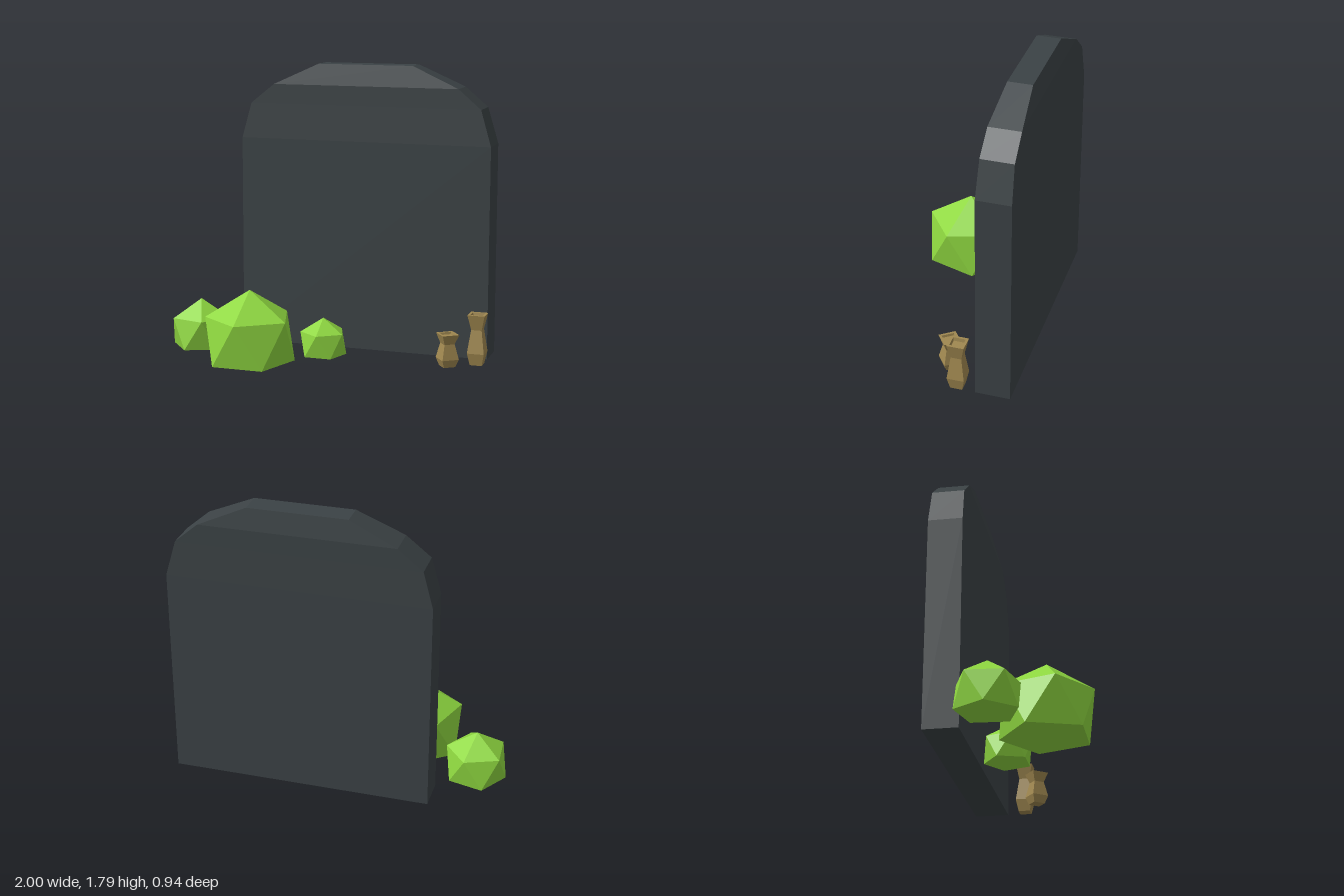
import * as THREE from 'three';

const flat = (color) => new THREE.MeshStandardMaterial({ color, flatShading: true });

// Closed slab lofted through rectangular sections [y, xLeft, xRight, zBack, zFront]
function loftGeometry(rows) {
  const pos = [], index = [];
  for (const [y, xl, xr, zb, zf] of rows) pos.push(xl, y, zf, xr, y, zf, xr, y, zb, xl, y, zb);
  for (let i = 0; i < rows.length - 1; i++) {
    for (let k = 0; k < 4; k++) {
      const a = i * 4 + k, b = i * 4 + (k + 1) % 4;
      index.push(a, b, b + 4, a, b + 4, a + 4);
    }
  }
  const t = (rows.length - 1) * 4;
  index.push(t, t + 1, t + 2, t, t + 2, t + 3, 0, 2, 1, 0, 3, 2);
  const geo = new THREE.BufferGeometry();
  geo.setAttribute('position', new THREE.Float32BufferAttribute(pos, 3));
  geo.setIndex(index);
  const out = geo.toNonIndexed();
  out.computeVertexNormals();
  return out;
}

// Icosahedron standing on its point, with the lowest point pressed flat
function bushGeometry(radius, turn) {
  const geo = new THREE.IcosahedronGeometry(radius, 0);
  geo.rotateZ(Math.atan(2 / (1 + Math.sqrt(5))));
  geo.rotateY(turn);
  geo.translate(0, 0.01 + radius / Math.sqrt(5), 0);
  const p = geo.attributes.position;
  for (let i = 0; i < p.count; i++) p.setY(i, Math.max(p.getY(i), 0.003));
  geo.computeVertexNormals();
  return geo;
}

// Square waisted vase with a shallow hollow in the top; half-widths along the height
function vaseGeometry(height, half) {
  const profile = [[0, 0], [0.7, 0], [1, 0.24], [0.62, 0.7], [1, 1], [0.72, 1], [0.66, 0.93], [0, 0.93]];
  const pts = profile.map(([w, h]) => new THREE.Vector2(w * half * Math.SQRT2, h * height));
  const geo = new THREE.LatheGeometry(pts, 4);
  geo.rotateY(Math.PI / 4);
  return geo;
}

export function createModel() {
  const model = new THREE.Group();
  const add = (name, geo, mat, x = 0, y = 0, z = 0) => {
    const mesh = new THREE.Mesh(geo, mat);
    mesh.name = name;
    mesh.position.set(x, y, z);
    model.add(mesh);
    return mesh;
  };

  // Headstone, thinning towards its rounded top
  add('headstone', loftGeometry([
    [0.015, -0.61, 0.98, -0.47, -0.26],
    [1.32, -0.61, 0.98, -0.468, -0.261],
    [1.54, -0.55, 0.915, -0.462, -0.267],
    [1.66, -0.4, 0.775, -0.46, -0.268],
    [1.79, -0.115, 0.485, -0.438, -0.292],
  ]), flat(0x3b4245));

  // Bushes: [name, x, z, radius, turn]
  const leaf = flat(0x8fd840);
  for (const [name, x, z, r, turn] of [
    ['largeBush', -0.39, 0.195, 0.304, Math.PI / 2],
    ['rightBush', -0.82, -0.065, 0.207, Math.PI + 0.07],
    ['smallBush', -0.015, -0.09, 0.159, Math.PI / 2],
  ]) add(name, bushGeometry(r, turn), leaf, x, 0, z);

  // Vases
  const clay = flat(0xa08850);
  add('tallVase', vaseGeometry(0.31, 0.052), clay, 0.945, 0.015, -0.145);
  add('shortVase', vaseGeometry(0.2, 0.053), clay, 0.785, 0.015, -0.045).rotation.y = 0.65;

  return model;
}
